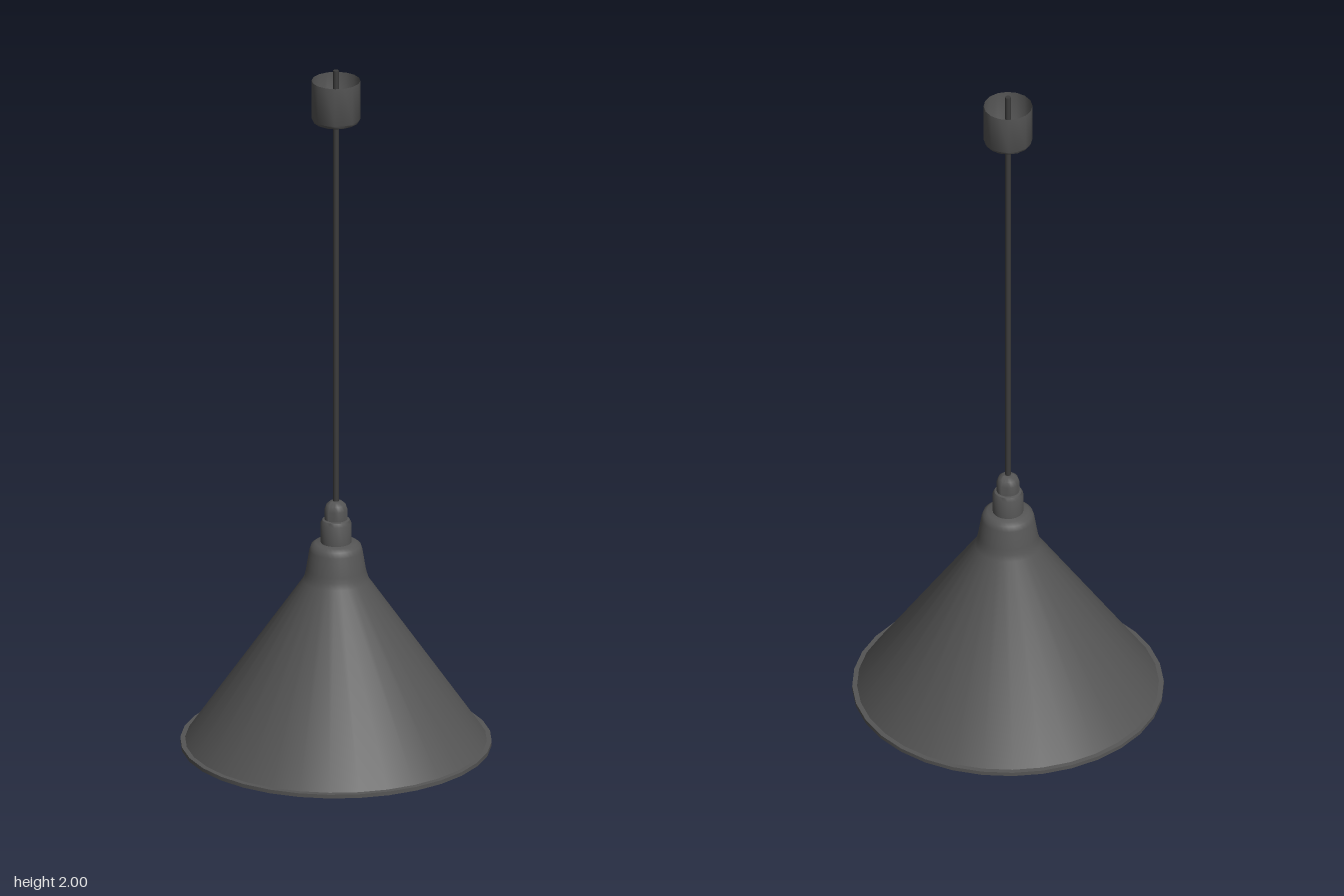
import * as THREE from 'three';
import { toCreasedNormals } from 'three/addons/utils/BufferGeometryUtils.js';

const material = (name, color, side = THREE.FrontSide) => {
  const m = new THREE.MeshStandardMaterial({ color, side });
  m.name = name;
  return m;
};

// Turns a [radius, height] profile; listed bottom to top, the surface faces outward.
function turned(name, profile, sides, mat) {
  const points = profile.map(([r, y]) => new THREE.Vector2(r, y));
  const geometry = toCreasedNormals(new THREE.LatheGeometry(points, sides), 0.7);
  const mesh = new THREE.Mesh(geometry, mat);
  mesh.name = name;
  return mesh;
}

export function createModel() {
  const group = new THREE.Group();
  group.name = 'pendantLamp';

  const charcoal = material('charcoal', 0x555555);
  const charcoalOpen = material('charcoalOpen', 0x555555, THREE.DoubleSide);
  const black = material('cordBlack', 0x3c3c3c);
  const white = material('innerWhite', 0xe2e5e3);
  const glass = material('bulbGlass', 0xd2cccc);

  // Conical shade with a rounded neck
  group.add(turned('shade', [
    [0.42, 0.011], [0.092, 0.487], [0.086, 0.505], [0.083, 0.52],
    [0.074, 0.575], [0.069, 0.59], [0.058, 0.598], [0, 0.6],
  ], 32, charcoal));

  // Thin flat lip around the opening
  group.add(turned('shadeRim', [
    [0.41, 0.012], [0.41, 0], [0.433, 0], [0.433, 0.011], [0.418, 0.012],
  ], 32, charcoal));

  // White lining, facing inward
  group.add(turned('shadeLining', [
    [0, 0.585], [0.06, 0.583], [0.072, 0.52], [0.082, 0.487], [0.411, 0.009],
  ], 32, white));

  // Bulb hanging inside the shade
  group.add(turned('bulb', [
    [0, 0.145], [0.03, 0.147], [0.05, 0.156], [0.064, 0.172], [0.07, 0.195],
    [0.07, 0.25], [0.064, 0.3], [0.045, 0.36], [0.035, 0.42], [0.035, 0.585],
  ], 24, glass));

  // Stepped lamp holder above the shade
  group.add(turned('lampHolder', [
    [0.043, 0.595], [0.043, 0.655], [0.038, 0.665], [0.032, 0.667],
    [0.032, 0.695], [0.027, 0.71], [0.016, 0.719], [0, 0.721],
  ], 20, charcoal));

  // Cord
  const cord = new THREE.Mesh(new THREE.CylinderGeometry(0.008, 0.008, 1.29, 10), black);
  cord.name = 'cord';
  cord.position.y = 1.355;
  group.add(cord);

  // Ceiling cup, open at the top
  group.add(turned('ceilingCup', [
    [0, 1.845], [0.056, 1.846], [0.064, 1.85], [0.068, 1.858], [0.068, 1.97],
  ], 16, charcoalOpen));

  return group;
}
